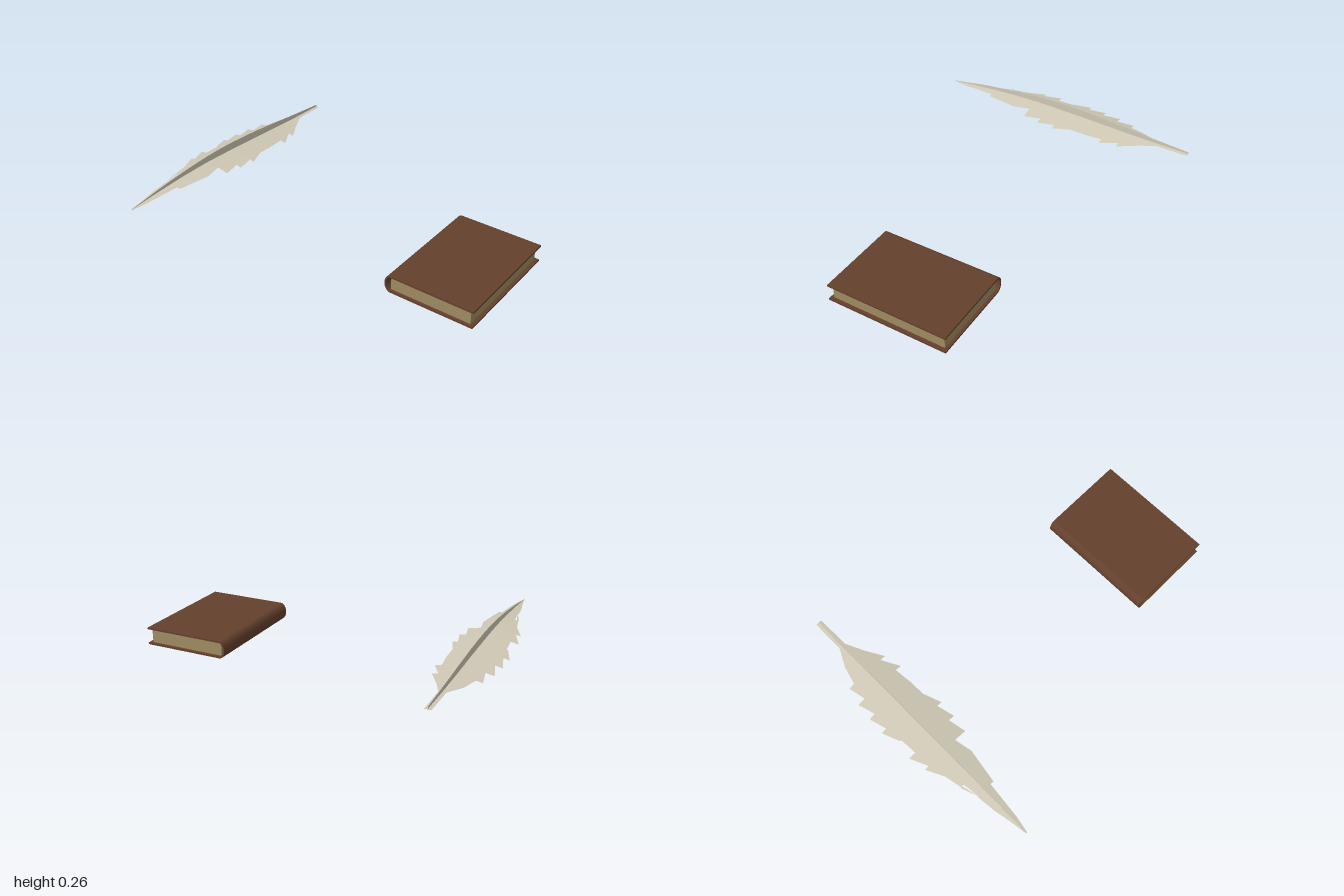
import * as THREE from 'three';

const flat = (name, color, side = THREE.FrontSide) => {
  const m = new THREE.MeshStandardMaterial({ color, side });
  m.name = name;
  return m;
};

// Open surface from a list of four-cornered faces
function quads(list) {
  const pos = [];
  for (const [a, b, c, d] of list) pos.push(...a, ...b, ...c, ...a, ...c, ...d);
  const g = new THREE.BufferGeometry();
  g.setAttribute('position', new THREE.Float32BufferAttribute(pos, 3));
  g.computeVertexNormals();
  return g;
}

const part = (name, geometry, material) => {
  const m = new THREE.Mesh(geometry, material);
  m.name = name;
  return m;
};

const AXIS = -0.833;

// Stations along the feather, from the cut quill end to the pointed tip
const Z = [-0.79, -0.6, -0.5, -0.4, -0.3, -0.2, -0.1, 0, 0.1, 0.2, 0.3, 0.395, 0.49, 0.59, 0.69, 0.785];

// Height of the feather's central ridge and of its upright web at each station
const RIDGE = [0.19, 0.193, 0.196, 0.2, 0.205, 0.21, 0.214, 0.218, 0.221, 0.223, 0.222, 0.219, 0.214, 0.208, 0.2, 0.192];
const WEB_TOP = [0.2, 0.216, 0.225, 0.235, 0.244, 0.252, 0.258, 0.262, 0.263, 0.26, 0.254, 0.245, 0.235, 0.222, 0.207, 0.193];
const WEB_LOW = [0.185, 0.176, 0.173, 0.17, 0.168, 0.168, 0.17, 0.174, 0.178, 0.183, 0.187, 0.19, 0.192, 0.193, 0.192, 0.19];

// Barb edge of each segment as [x at its start, x at its end]; steps make the ragged teeth
const RIGHT_EDGE = [[-0.85, -0.85], [-0.85, -0.9], [-0.9, -0.925], [-0.96, -0.94], [-0.985, -0.957],
  [-0.995, -0.968], [-1, -0.963], [-0.955, -0.948], [-0.99, -0.947], [-0.973, -0.925],
  [-0.925, -0.905], [-0.888, -0.874], [-0.88, -0.87], [-0.87, -0.85], [-0.85, -0.836]];
const LEFT_EDGE = [[-0.815, -0.813], [-0.813, -0.765], [-0.765, -0.707], [-0.74, -0.685], [-0.72, -0.71],
  [-0.71, -0.707], [-0.707, -0.67], [-0.7, -0.675], [-0.71, -0.69], [-0.76, -0.74],
  [-0.74, -0.755], [-0.755, -0.77], [-0.79, -0.8], [-0.8, -0.81], [-0.81, -0.828]];

// A point on the vane, drooping away from the ridge
const vanePoint = (x, i) => [x, RIDGE[i] - 0.19 * Math.abs(x - AXIS), Z[i]];

function vane(edge, side) {
  const faces = edge.map(([x0, x1], i) => {
    const q = [vanePoint(AXIS, i), vanePoint(AXIS, i + 1), vanePoint(x1, i + 1), vanePoint(x0, i)];
    return side > 0 ? q : q.reverse();
  });
  return quads(faces);
}

function createFeather(material) {
  const g = new THREE.Group();
  g.name = 'feather';
  g.add(part('rightVane', vane(RIGHT_EDGE, -1), material));
  g.add(part('leftVane', vane(LEFT_EDGE, 1), material));

  // Loose barb beside the split near the tip
  g.add(part('looseBarb', quads([[vanePoint(-0.91, 11), vanePoint(-0.876, 12),
    vanePoint(-0.874, 12), vanePoint(-0.898, 11)]]), material));

  // Upright web along the spine
  const web = [];
  for (let i = 0; i < Z.length - 1; i++) {
    web.push([[AXIS, WEB_LOW[i], Z[i]], [AXIS, WEB_TOP[i], Z[i]],
      [AXIS, WEB_TOP[i + 1], Z[i + 1]], [AXIS, WEB_LOW[i + 1], Z[i + 1]]]);
  }
  g.add(part('spineWeb', quads(web), material));
  return g;
}

function createBook(leather, paper) {
  const g = new THREE.Group();
  g.name = 'book';

  // Both boards and the rounded spine as one C-shaped section
  const s = new THREE.Shape();
  s.moveTo(1, 0.1);
  s.lineTo(0.53, 0.1);
  s.absellipse(0.53, 0.05, 0.034, 0.05, Math.PI / 2, Math.PI * 1.5, false);
  s.lineTo(1, 0);
  s.lineTo(1, 0.01);
  s.lineTo(0.53, 0.01);
  s.absellipse(0.53, 0.05, 0.025, 0.04, Math.PI * 1.5, Math.PI / 2, true);
  s.lineTo(1, 0.09);
  s.closePath();
  const cover = new THREE.ExtrudeGeometry(s, { depth: 0.69, bevelEnabled: false, curveSegments: 10 });
  cover.translate(0, 0, -0.345);
  g.add(part('cover', cover, leather));

  // Page block, set back from the boards
  const pages = new THREE.BoxGeometry(0.455, 0.08, 0.656);
  pages.translate(0.7525, 0.05, 0);
  g.add(part('pages', pages, paper));
  return g;
}

export function createModel() {
  const model = new THREE.Group();
  model.name = 'bookAndFeather';
  model.add(createFeather(flat('feather cream', 0xcfc8b5, THREE.DoubleSide)));
  model.add(createBook(flat('brown leather', 0x64402d), flat('aged paper', 0x9e8a60)));
  return model;
}
